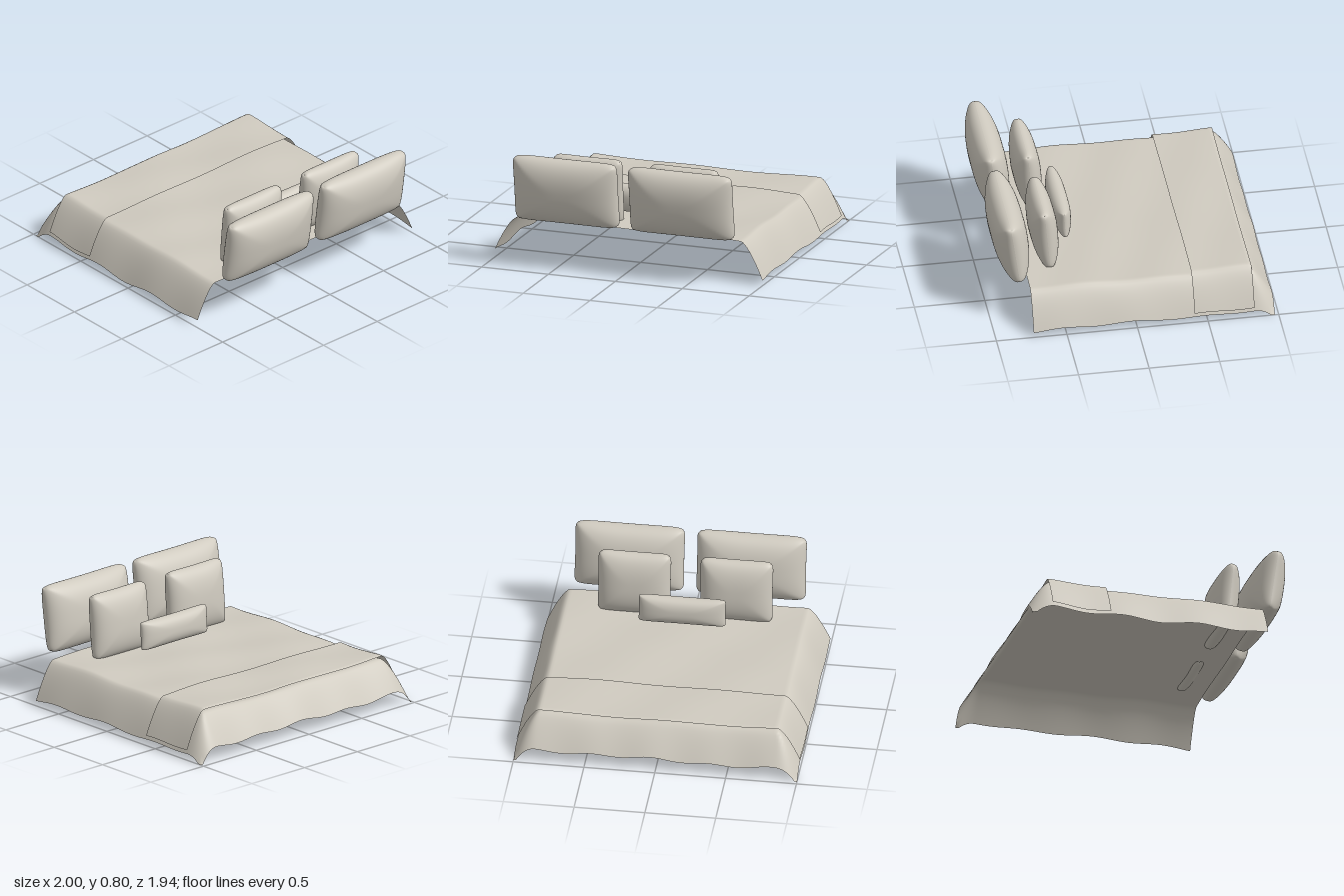
import * as THREE from 'three';
import { mergeGeometries } from 'three/addons/utils/BufferGeometryUtils.js';

const linen = new THREE.MeshStandardMaterial({ color: 0xcfcabf, side: THREE.DoubleSide });
linen.name = 'linen';

// Height of the draped cover: flat with soft ripples, falling at both sides and the back
function coverHeight(x, z) {
  const tx = Math.max(0, (Math.abs(x) - 0.84) / 0.16);
  const tz = Math.max(0, (-z - 0.82) / 0.155);
  const side = 0.26 * Math.pow(tx, 1.45);
  const back = 0.215 * Math.pow(tz, 1.25);
  const fall = Math.min(0.308, Math.hypot(side, back));
  const ripple = 0.005 * Math.sin(7 * x + 5 * z) + 0.004 * Math.sin(11 * z - 4 * x + 1);
  const hem = 0.009 * (Math.min(tx, 1) * Math.sin(12 * z + x) + Math.min(tz, 1) * Math.sin(15 * x + 1));
  const corner = 1 - Math.min(tx, 1) * Math.min(tz, 1);
  return 0.313 - fall + (ripple + hem) * corner;
}

// Sheet of cloth following the cover, lifted by a fixed amount
function cloth(name, zBack, zFront, lift, rows) {
  const g = new THREE.PlaneGeometry(2, zFront - zBack, 120, rows);
  g.rotateX(-Math.PI / 2);
  g.translate(0, 0, (zBack + zFront) / 2);
  const p = g.attributes.position;
  for (let i = 0; i < p.count; i++) p.setY(i, coverHeight(p.getX(i), p.getZ(i)) + lift);
  g.computeVertexNormals();
  const m = new THREE.Mesh(g, linen);
  m.name = name;
  return m;
}

// Stuffed cushion: two puffed panels meeting at a seam
function cushion(name, w, h, depth, center, tilt) {
  const front = new THREE.PlaneGeometry(2, 2, 44, 44);
  const p = front.attributes.position;
  const r = Math.min(w, h) * 0.045;
  for (let i = 0; i < p.count; i++) {
    const u = Math.sin(p.getX(i) * Math.PI / 2);
    const v = Math.sin(p.getY(i) * Math.PI / 2);
    const au = Math.abs(u), av = Math.abs(v);
    const round = r * Math.pow(au * av, 10);
    const x = u * (w / 2 - 0.006 * (1 - v * v)) - Math.sign(u) * round;
    const y = v * (h / 2 - 0.006 * (1 - u * u)) - Math.sign(v) * round;
    // the smaller of the two profiles leaves creases running to the corners
    const pu = Math.sqrt(Math.max(0, 1 - Math.pow(au, 3)));
    const pv = Math.sqrt(Math.max(0, 1 - Math.pow(av, 2.4)));
    p.setXYZ(i, x, y, depth / 2 * (0.6 * pu * pv + 0.4 * Math.min(pu, pv)));
  }
  front.computeVertexNormals();
  const back = front.clone().rotateY(Math.PI);
  const m = new THREE.Mesh(mergeGeometries([front, back]), linen);
  m.name = name;
  m.position.set(...center);
  m.rotation.x = tilt;
  return m;
}

export function createModel() {
  const model = new THREE.Group();
  model.name = 'bedding';

  // Cover and folded throw
  model.add(cloth('bedCover', -0.975, 0.735, 0, 110));
  model.add(cloth('foldedThrow', -0.83, -0.405, 0.028, 30));

  // Mirrored pairs of pillows, tipped forward at the top
  for (const [side, s] of [['left', 1], ['right', -1]]) {
    model.add(cushion(side + 'LargePillow', 0.78, 0.49, 0.25, [s * 0.43, 0.57, 0.832], 0.14));
    model.add(cushion(side + 'SquarePillow', 0.52, 0.48, 0.195, [s * 0.36, 0.527, 0.573], 0.09));
  }

  // Small bolster in the middle
  model.add(cushion('bolsterCushion', 0.62, 0.212, 0.137, [0, 0.437, 0.4], 0.06));

  return model;
}
